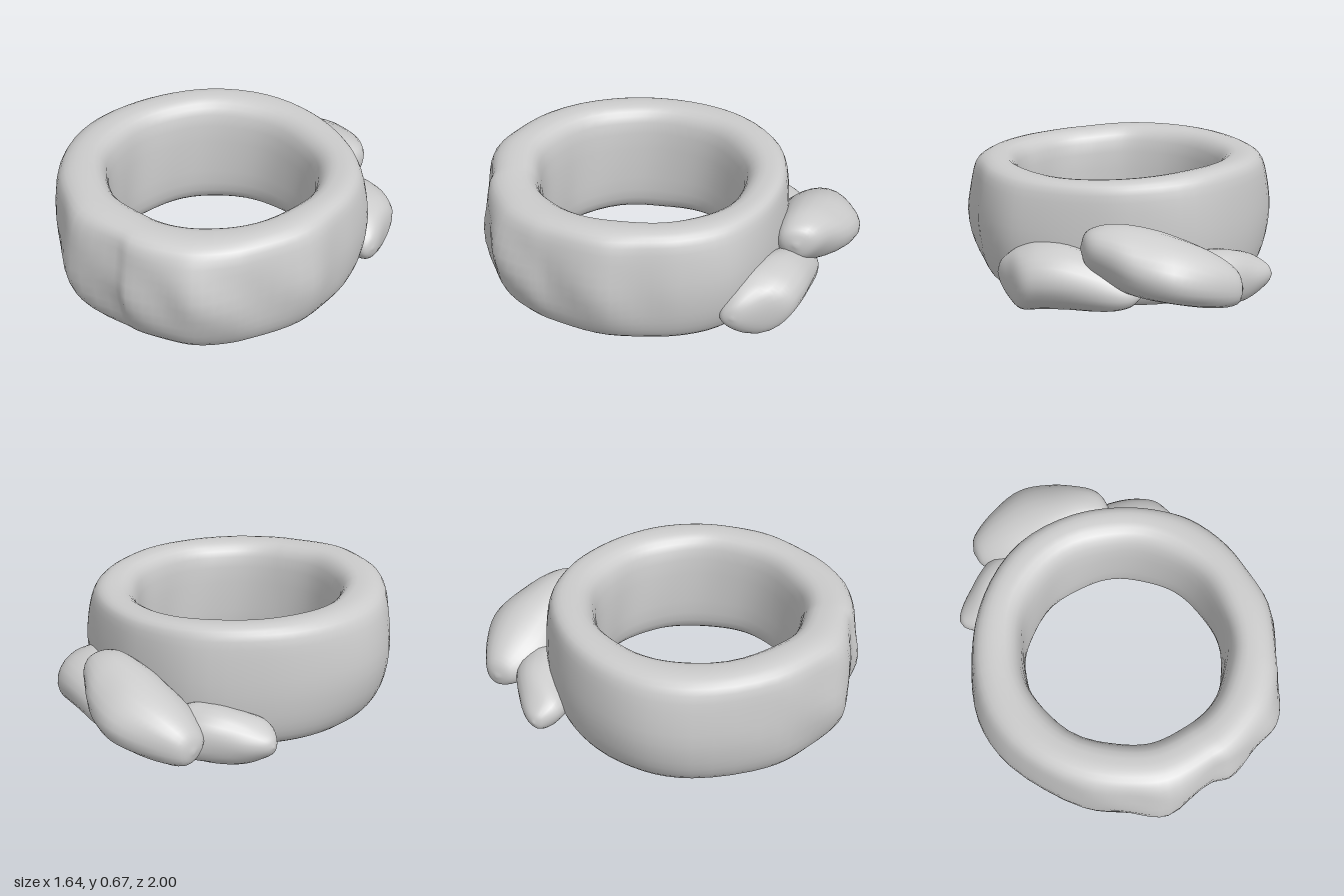
import * as THREE from 'three';
import { mergeVertices } from 'three/addons/utils/BufferGeometryUtils.js';

const material = new THREE.MeshStandardMaterial({ color: 0xcccccc, roughness: 0.8 });

// Smooth surface from a grid of points: point(i, j) -> [x, y, z], closed around j
function surface(name, rows, cols, closedRows, point) {
  const pos = [], index = [];
  for (let i = 0; i < rows; i++)
    for (let j = 0; j < cols; j++) pos.push(...point(i, j));
  const last = closedRows ? rows : rows - 1;
  for (let i = 0; i < last; i++)
    for (let j = 0; j < cols; j++) {
      const i2 = (i + 1) % rows, j2 = (j + 1) % cols;
      const a = i * cols + j, b = i2 * cols + j, c = i2 * cols + j2, d = i * cols + j2;
      index.push(a, b, c, a, c, d);
    }
  let geo = new THREE.BufferGeometry();
  geo.setAttribute('position', new THREE.Float32BufferAttribute(pos, 3));
  geo.setIndex(index);
  geo = mergeVertices(geo, 1e-4);
  geo.computeVertexNormals();
  const mesh = new THREE.Mesh(geo, material);
  mesh.name = name;
  return mesh;
}

// Thick hand-formed band: a rounded cross-section swept along an uneven outline
function band() {
  const outline = new THREE.CatmullRomCurve3([
    [-0.07, 1.0], [0.2, 0.92], [0.29, 0.925], [0.46, 0.85], [0.6, 0.775], [0.7, 0.6], [0.73, 0.47],
    [0.82, 0.2], [0.77, 0], [0.73, -0.18], [0.61, -0.4], [0.43, -0.52], [0.2, -0.6], [0, -0.63],
    [-0.33, -0.58], [-0.6, -0.35], [-0.75, -0.1], [-0.82, 0.2], [-0.75, 0.47], [-0.47, 0.8], [-0.25, 0.92],
  ].map(([x, z]) => new THREE.Vector3(x, 0, z)), true);
  // x: 0 = inner wall, 1 = outer wall; y: height
  const profile = new THREE.CatmullRomCurve3([
    [1, 0.33], [0.95, 0.49], [0.86, 0.6], [0.68, 0.645], [0.42, 0.655], [0.18, 0.635], [0.045, 0.56],
    [0.005, 0.33], [0.03, 0.12], [0.15, 0.04], [0.38, 0.012], [0.58, 0.022], [0.78, 0.075], [0.93, 0.18],
  ].map(([x, y]) => new THREE.Vector3(x, y, 0)), true);
  const rows = 84, cols = 36, hole = 0.525, cx = 0.01, cz = 0.143;
  const section = profile.getPoints(cols).slice(0, cols);
  const path = outline.getPoints(rows).slice(0, rows);
  return surface('band', rows, cols, true, (i, j) => {
    const o = path[i], s = section[j];
    const a = Math.atan2(o.x - cx, o.z - cz);
    const back = Math.max(0, -Math.cos(a)), front = Math.max(0, Math.cos(a - 0.5));
    // bumps of the outline fade to a plain circle towards the rims
    const fade = 0.7 * Math.min(1, Math.abs(s.y - 0.33) / 0.32) ** 2;
    const ring = 0.8 / Math.hypot(o.x, o.z - 0.18);
    const ox = o.x * (1 + (ring - 1) * fade);
    const oz = 0.18 + (o.z - 0.18) * (1 + (ring - 1) * fade);
    // the back is squarer, the front right has shallow dents
    const t = s.x + 0.7 * back * s.x * (1 - s.x)
      + 0.03 * front * s.x * Math.sin(11 * a + 14 * s.y) * Math.sin(Math.PI * s.y / 0.66);
    const inner = hole + 0.004 * Math.sin(9 * a + 5 * s.y);
    const ix = cx + inner * Math.sin(a), iz = cz + inner * Math.cos(a);
    // the upper rim rises and dips a little
    const y = s.y + (s.y > 0.33
      ? (s.y - 0.33) * (0.045 * Math.cos(a + 1.2) + 0.025 * Math.cos(3 * a + 1.2))
      : 0.005 * Math.sin(5 * a) * (1 - s.y / 0.33));
    return [ix + (ox - ix) * t, y, iz + (oz - iz) * t];
  });
}

// Irregular lump; stations are [x, y, z, half height, half depth] from end to end
function lump(name, stations, phase) {
  const curve = (f) => new THREE.CatmullRomCurve3(stations.map(f), false, 'catmullrom', 0.5);
  const centre = curve((s) => new THREE.Vector3(s[0], s[1], s[2]));
  const radius = curve((s) => new THREE.Vector3(s[3], s[4], 0));
  const rows = 36, cols = 24;
  return surface(name, rows, cols, false, (i, j) => {
    const u = i / (rows - 1), th = (j / cols) * Math.PI * 2;
    const c = centre.getPoint(u), r = radius.getPoint(u);
    const k = 1 + 0.05 * Math.sin(3 * th + 7 * u + phase) + 0.03 * Math.sin(2 * th - 13 * u + phase);
    return [c.x, c.y + Math.max(0, r.x) * k * Math.sin(th), c.z + Math.max(0, r.y) * k * Math.cos(th)];
  });
}

export function createModel() {
  const model = new THREE.Group();
  model.name = 'ring';
  model.add(band());

  // Three overlapping lumps on the back, pressed into the band
  model.add(lump('middleLump', [
    [-0.535, 0.17, -0.78, 0, 0], [-0.5, 0.18, -0.775, 0.08, 0.095], [-0.36, 0.22, -0.77, 0.135, 0.185],
    [-0.18, 0.27, -0.78, 0.16, 0.215], [0, 0.305, -0.755, 0.16, 0.19], [0.13, 0.34, -0.715, 0.13, 0.14],
    [0.21, 0.355, -0.695, 0.085, 0.085], [0.24, 0.355, -0.69, 0, 0],
  ], 0.5));
  model.add(lump('leftLump', [
    [-0.06, 0.13, -0.75, 0, 0], [0.01, 0.135, -0.73, 0.065, 0.07], [0.13, 0.155, -0.68, 0.12, 0.125],
    [0.3, 0.18, -0.605, 0.16, 0.17], [0.44, 0.18, -0.55, 0.17, 0.185], [0.53, 0.165, -0.515, 0.15, 0.175],
    [0.59, 0.16, -0.46, 0.105, 0.11], [0.63, 0.16, -0.425, 0.055, 0.055], [0.645, 0.16, -0.42, 0, 0],
  ], 2));
  model.add(lump('rightLump', [
    [-0.735, 0.13, -0.435, 0, 0], [-0.71, 0.13, -0.435, 0.05, 0.05], [-0.63, 0.135, -0.455, 0.1, 0.12],
    [-0.53, 0.145, -0.5, 0.13, 0.165], [-0.42, 0.155, -0.545, 0.14, 0.18], [-0.31, 0.16, -0.6, 0.115, 0.14],
    [-0.2, 0.16, -0.64, 0, 0],
  ], 4));
  return model;
}
